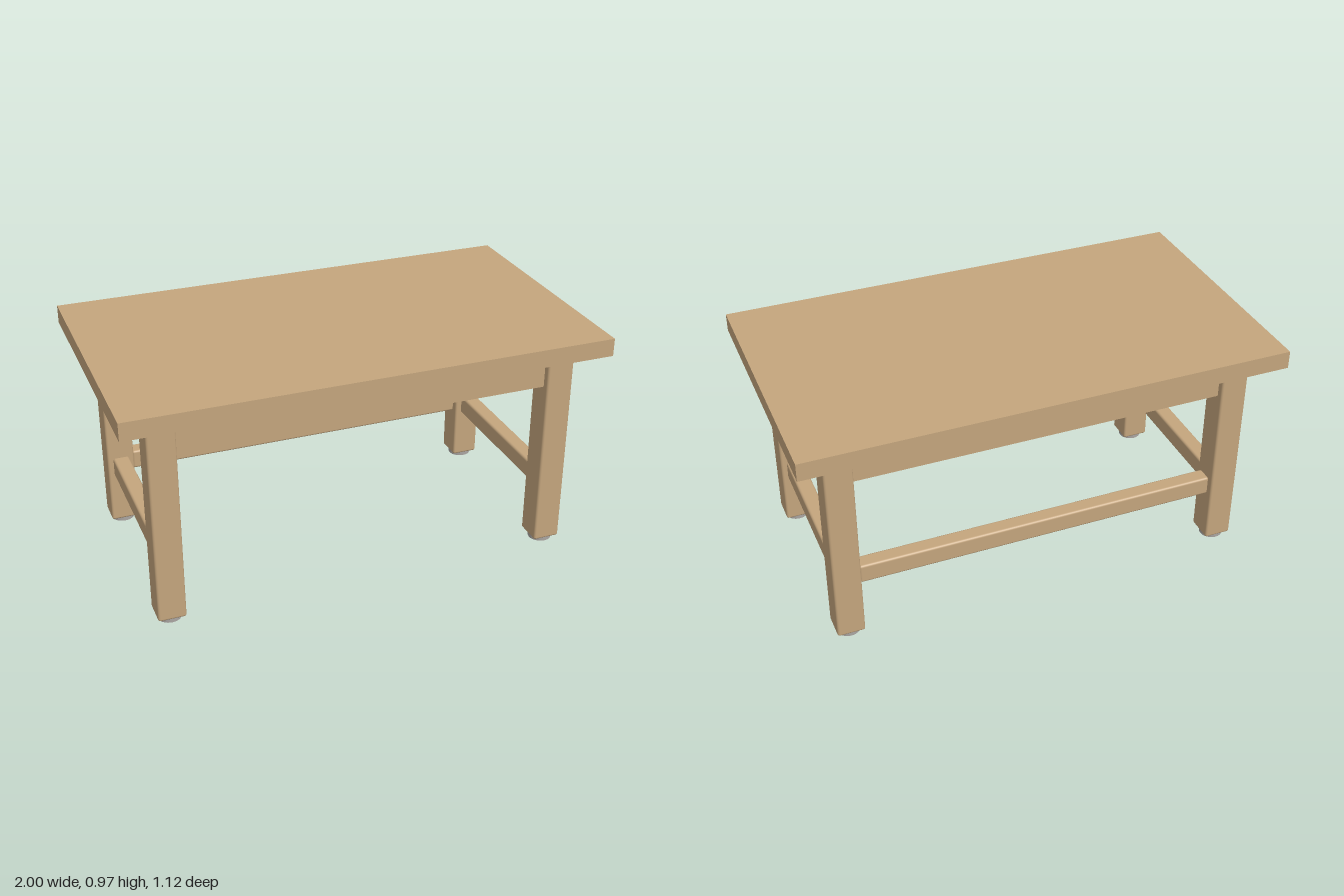
import * as THREE from 'three';
import { RoundedBoxGeometry } from 'three/addons/geometries/RoundedBoxGeometry.js';

export function createModel() {
  const table = new THREE.Group();
  table.name = 'table';

  const wood = new THREE.MeshStandardMaterial({ color: 0xc4a57d });
  wood.name = 'wood';
  const metal = new THREE.MeshStandardMaterial({ color: 0xaaa5a1 });
  metal.name = 'footMetal';

  const add = (name, geometry, material, x, y, z) => {
    const mesh = new THREE.Mesh(geometry, material);
    mesh.name = name;
    mesh.position.set(x, y, z);
    table.add(mesh);
  };

  const LEG_X = 0.828, LEG_Z = 0.401;     // leg centres
  const LEG_W = 0.115, LEG_D = 0.118;     // leg section
  const LEG_BOTTOM = 0.02, TOP_Y = 0.899; // leg ends
  const spanX = 2 * LEG_X - LEG_W;        // clear gaps between legs
  const spanZ = 2 * LEG_Z - LEG_D;

  // Tabletop slab
  add('tabletop', new THREE.BoxGeometry(2, 0.075, 1.115), wood, 0, TOP_Y + 0.0375, 0);

  // Legs with softened edges, on round metal feet
  const legH = TOP_Y - LEG_BOTTOM;
  const legGeo = new RoundedBoxGeometry(LEG_W, legH, LEG_D, 3, 0.01);
  const footGeo = new THREE.CylinderGeometry(0.049, 0.049, 0.022, 32);
  for (const sx of [-1, 1]) {
    for (const sz of [-1, 1]) {
      const side = (sz > 0 ? 'front' : 'back') + (sx > 0 ? 'Left' : 'Right');
      add(side + 'Leg', legGeo, wood, sx * LEG_X, LEG_BOTTOM + legH / 2, sz * LEG_Z);
      add(side + 'Foot', footGeo, metal, sx * LEG_X, 0.011, sz * LEG_Z);
    }
  }

  // Aprons under the top, between the legs
  const apronH = 0.155, apronT = 0.06, apronY = TOP_Y - apronH / 2;
  const longApron = new THREE.BoxGeometry(spanX, apronH, apronT);
  const shortApron = new THREE.BoxGeometry(apronT, apronH, spanZ);
  for (const s of [-1, 1]) {
    add(s > 0 ? 'frontApron' : 'backApron', longApron, wood, 0, apronY, s * LEG_Z);
    add(s > 0 ? 'leftApron' : 'rightApron', shortApron, wood, s * LEG_X, apronY, 0);
  }

  // Low stretchers on both ends and along the back; the front stays open
  const railH = 0.083, railT = 0.068, railY = 0.288;
  const shortRail = new RoundedBoxGeometry(railT, railH, spanZ, 3, 0.01);
  add('leftStretcher', shortRail, wood, LEG_X, railY, 0);
  add('rightStretcher', shortRail, wood, -LEG_X, railY, 0);
  add('backStretcher', new RoundedBoxGeometry(spanX, railH, railT, 3, 0.01), wood, 0, railY, -LEG_Z);

  return table;
}
